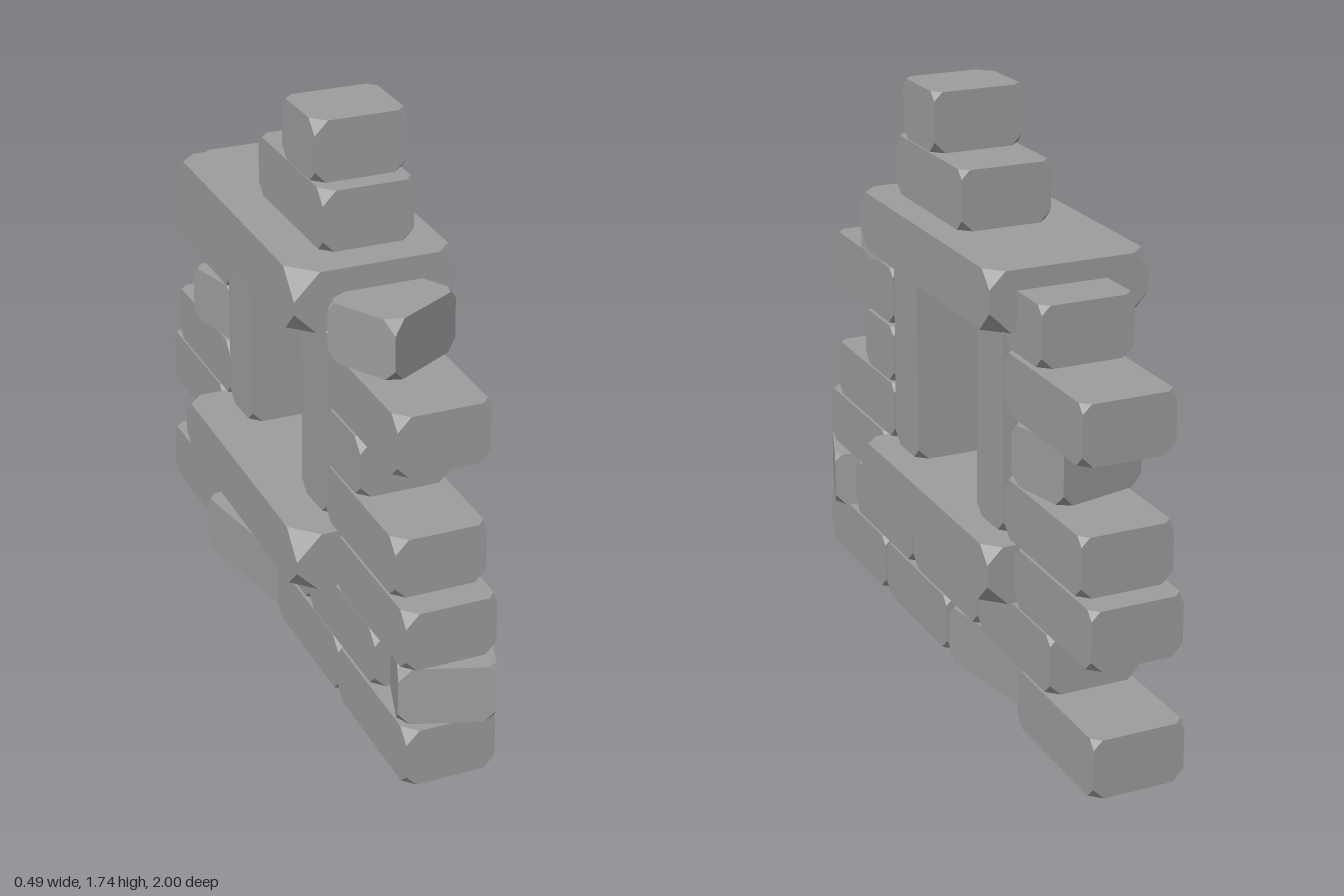
import * as THREE from 'three';
import { ConvexGeometry } from 'three/addons/geometries/ConvexGeometry.js';

const stone = new THREE.MeshStandardMaterial({ color: 0x9e9e9e, flatShading: true });

// Block with all eight corners cut off, and its front and left faces leaning in slightly
function blockGeometry(w, h, d, cut) {
  const pts = [];
  for (const sx of [-1, 1]) for (const sy of [-1, 1]) for (const sz of [-1, 1]) {
    const big = sx < 0 && sy > 0 && sz > 0;
    const c = cut * (big ? 1.2 : sy > 0 ? 0.75 : 1);
    for (let axis = 0; axis < 3; axis++) {
      const p = new THREE.Vector3(sx * w / 2, sy * h / 2, sz * d / 2);
      p.setComponent(axis, p.getComponent(axis) - c * [sx, sy, sz][axis]);
      const fx = 0.5 - p.x / w, fy = p.y / h + 0.5, fz = p.z / d + 0.5;
      p.x += 0.006 * fx * fz;
      p.z -= 0.003 * fy * fz;
      pts.push(p);
    }
  }
  return new ConvexGeometry(pts);
}

export function createModel() {
  const group = new THREE.Group();

  function add(name, w, h, d, x, y, z, turn = 0, cut = 0.034) {
    const mesh = new THREE.Mesh(blockGeometry(w, h, d, cut), stone);
    mesh.name = name;
    mesh.position.set(x, y, z);
    mesh.rotation.y = THREE.MathUtils.degToRad(turn);
    group.add(mesh);
  }

  const W = 0.28, H = 0.18, LONG = 0.478, HALF = 0.23, X = 0.02;

  // Full-length bricks: [bottom of course, centres along z]
  const courses = [
    [0, [0.713, 0.224, -0.76]],
    [0.188, [0.487, -0.002, -0.49]],
    [0.374, [0.696, -0.735]],
    [0.563, [0.616, -0.67]],
    [0.94, [0.616, -0.667]],
    [1.38, [0.095]],
  ];
  for (const [y, centres] of courses)
    for (const z of centres) add('brick', W, H, LONG, X, y + H / 2, z);

  // Bricks knocked out of line
  add('turnedBrick', W, H, LONG, -0.007, 0.09, -0.275, 10);
  add('turnedHalfBrick', W, H, HALF, 0.04, 0.279, 0.845, -19);
  add('turnedHalfBrick', W, H, HALF, 0.008, 0.839, -0.575, 13);
  add('turnedHalfBrick', W, H, HALF, 0.022, 1.214, 0.503, 29);

  // Straight half bricks
  add('halfBrick', W, H, HALF, X, 0.839, 0.495);
  add('halfBrick', W, H, HALF, X, 1.225, -0.545);
  add('topBrick', W, H, HALF, X, 1.653, 0.16);

  // Window frame: sill, lintel and two posts
  add('sill', 0.488, H, 0.942, -0.002, 0.464, -0.02, 0, 0.065);
  add('lintel', 0.488, H, 0.942, -0.002, 1.285, -0.035, 0, 0.065);
  for (const z of [0.278, -0.33]) add('post', W, 0.628, 0.178, X, 0.874, z);

  return group;
}
